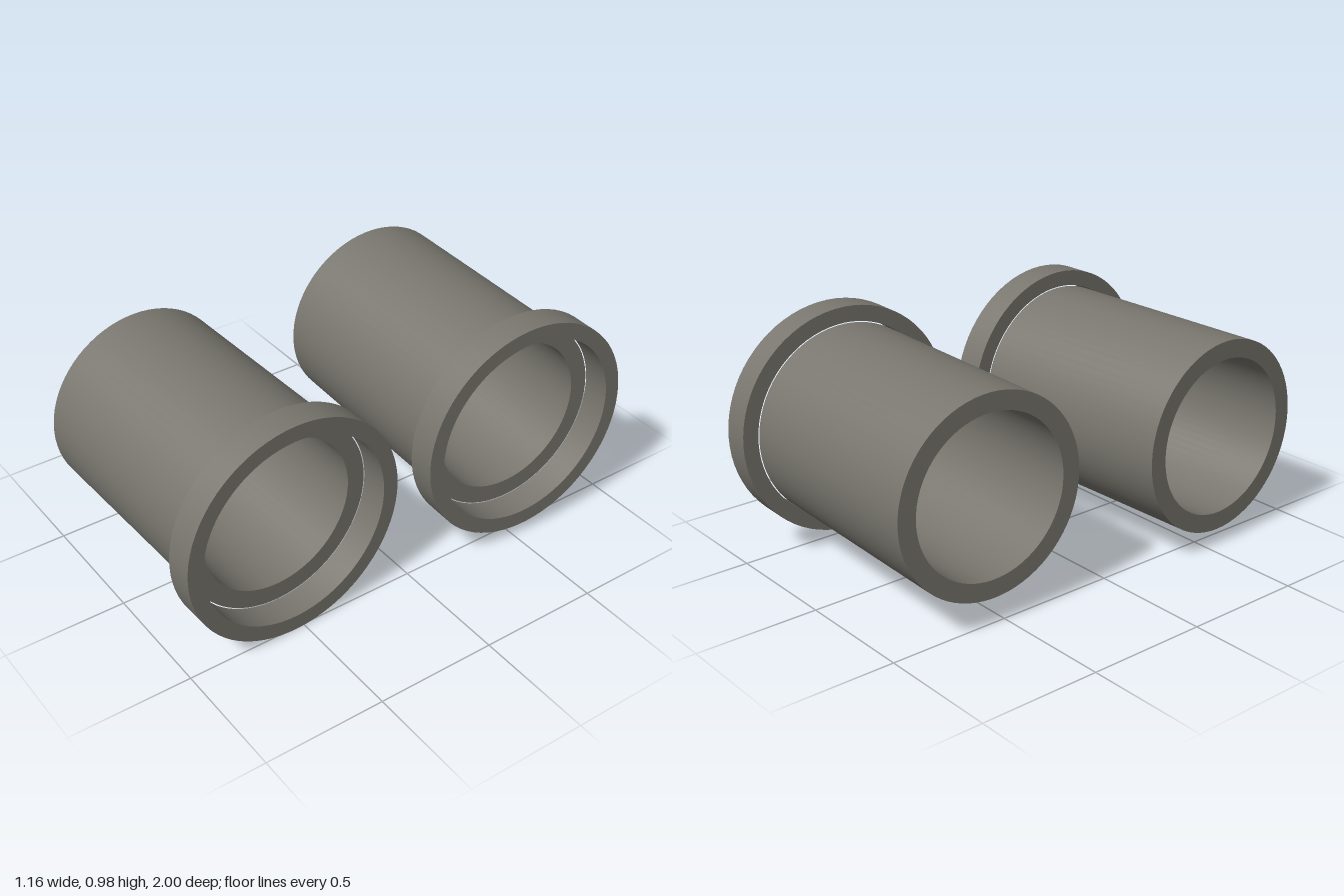
import * as THREE from 'three';
import { toCreasedNormals } from 'three/addons/utils/BufferGeometryUtils.js';

const BODY_LENGTH = 0.96;
const COLLAR_LENGTH = 0.12;

// Hollow cylinder running along +x from x0 to x1
function hollowCylinder(outer, inner, x0, x1) {
  const profile = [[outer, x0], [outer, x1], [inner, x1], [inner, x0], [outer, x0]]
    .map(([r, x]) => new THREE.Vector2(r, x));
  const geometry = new THREE.LatheGeometry(profile, 72);
  geometry.rotateZ(-Math.PI / 2);
  return toCreasedNormals(geometry, Math.PI / 5);
}

export function createModel() {
  const model = new THREE.Group();
  model.name = 'collaredTubes';

  const gray = new THREE.MeshStandardMaterial({ color: 0x78766e });
  gray.name = 'warm gray';

  // Both parts meet at the local origin, the back plane of the collar
  const bodyGeometry = hollowCylinder(0.4, 0.325, -BODY_LENGTH, 0);
  const collarGeometry = hollowCylinder(0.469, 0.404, 0, COLLAR_LENGTH);

  function addTube(name, position, yaw) {
    const tube = new THREE.Group();
    tube.name = name;
    const body = new THREE.Mesh(bodyGeometry, gray);
    body.name = 'tubeBody';
    const collar = new THREE.Mesh(collarGeometry, gray);
    collar.name = 'endCollar';
    tube.add(body, collar);
    tube.position.set(...position);
    tube.rotation.y = yaw;
    model.add(tube);
  }

  // The tubes are yawed slightly apart and sit at different heights
  addTube('frontTube', [0.388, 0.47, 0.53], 0.029);
  addTube('rearTube', [0.442, 0.514, -0.531], -0.037);

  return model;
}
